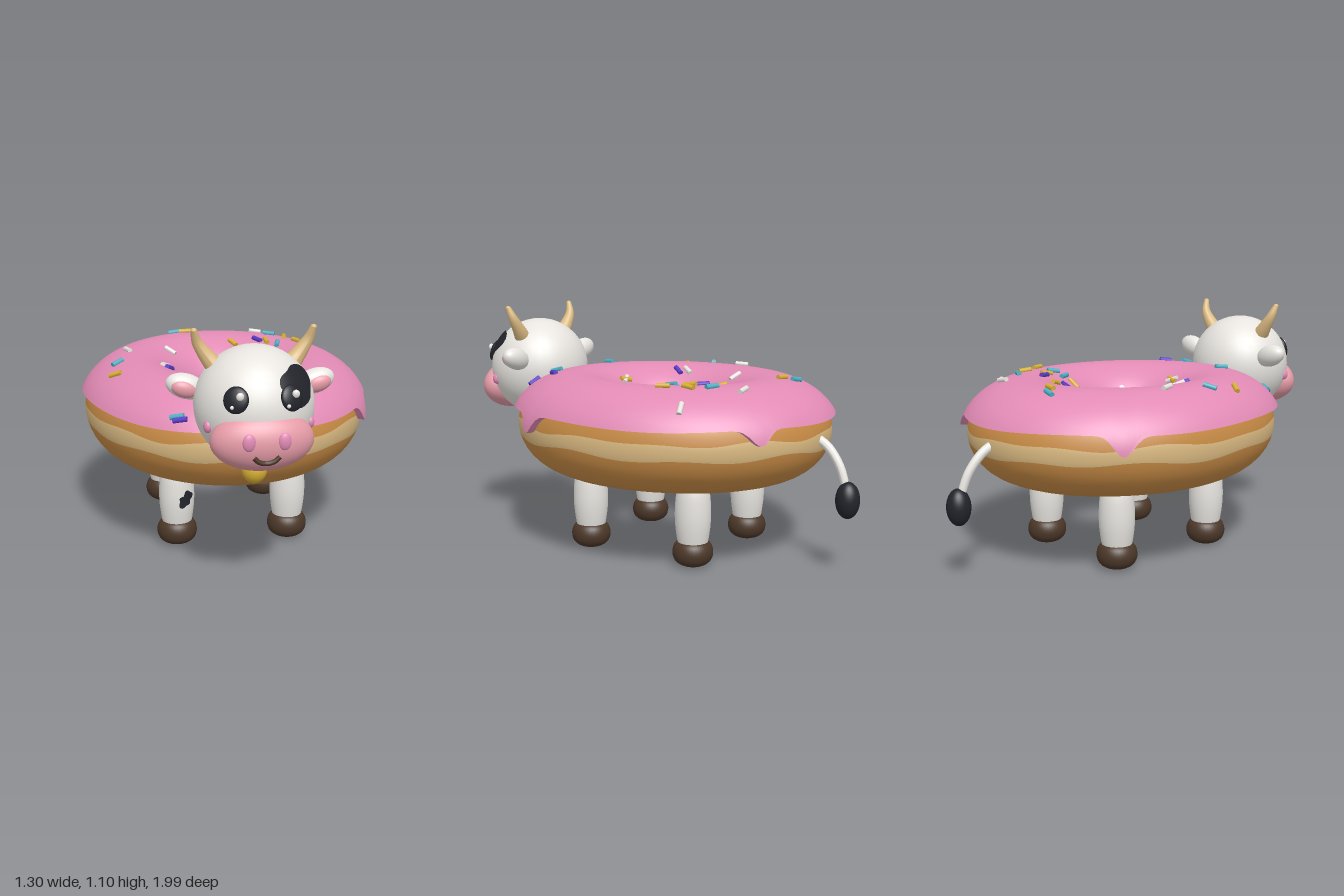
import * as THREE from 'three';

const mat = (name, color, opts = {}) => {
  const m = new THREE.MeshStandardMaterial({ color, ...opts });
  m.name = name;
  return m;
};
const V = (x, y, z) => new THREE.Vector3(x, y, z);

// Ring body proportions
const R = 0.405, TUBE = 0.235, HALF = 0.225, STRETCH = 1.17, MID = 0.575, CZ = -0.06;
const ringPoint = (u, v, out = 0, up = 0) => {
  const q = R + (TUBE + out) * Math.cos(v);
  return V(q * Math.cos(u), MID + (HALF + up) * Math.sin(v), CZ + q * Math.sin(u) * STRETCH);
};

// Surface of rows, each row closed on itself
function grid(rows, cols, fn) {
  const pos = [], index = [];
  for (let i = 0; i < rows; i++)
    for (let j = 0; j < cols; j++) {
      pos.push(...fn(i, (j / cols) * Math.PI * 2).toArray());
      if (i === rows - 1) continue;
      const a = i * cols + j, c = i * cols + ((j + 1) % cols);
      index.push(a, a + cols, c, a + cols, c + cols, c);
    }
  const g = new THREE.BufferGeometry();
  g.setAttribute('position', new THREE.Float32BufferAttribute(pos, 3));
  g.setIndex(index);
  g.computeVertexNormals();
  return g;
}

// Irregular thin patch laid onto a surface
const patch = (radius, project) => grid(7, 40, (i, a) => {
  const r = radius(a) * (i / 6);
  return project(r * Math.cos(a), r * Math.sin(a));
});

// Tube whose radius changes along its path
function taperTube(points, r0, r1) {
  const curve = new THREE.CatmullRomCurve3(points), n = 16, k = 14;
  const g = new THREE.TubeGeometry(curve, n, 1, k), p = g.attributes.position, v = V(0, 0, 0);
  for (let i = 0; i <= n; i++) {
    const c = curve.getPointAt(i / n), r = r0 + (r1 - r0) * (i / n);
    for (let j = 0; j <= k; j++) {
      const id = i * (k + 1) + j;
      v.fromBufferAttribute(p, id).sub(c).multiplyScalar(r).add(c);
      p.setXYZ(id, v.x, v.y, v.z);
    }
  }
  g.computeVertexNormals();
  return g;
}

const lathe = (pts) => new THREE.LatheGeometry(
  new THREE.SplineCurve(pts.map(([x, y]) => new THREE.Vector2(x, y))).getPoints(24), 32);

export function createModel() {
  const model = new THREE.Group();
  model.name = 'doughnutCow';
  const white = mat('white', 0xeeebe6), black = mat('black', 0x22242b);
  const icingPink = mat('icing pink', 0xe28bb5), skinPink = mat('skin pink', 0xe69ca8);
  const dough = mat('dough', 0xc98c46), tan = mat('tan', 0xdbba82);
  const brown = mat('brown', 0x4b3728), gold = mat('gold', 0xd8b034);
  const purple = mat('purple', 0x5a3cc8), teal = mat('teal', 0x4fb0c4);

  const add = (name, geo, material, parent = model) => {
    const m = new THREE.Mesh(geo, material);
    m.name = name;
    parent.add(m);
    return m;
  };
  const ball = (name, material, p, s, parent = model) => {
    const m = add(name, new THREE.SphereGeometry(1, 36, 24), material, parent);
    m.position.set(...p);
    m.scale.set(...s);
    return m;
  };

  // Dough ring with a wavy pale stripe around the outside
  const cols = 128;
  const low = (u) => -0.2 + 0.035 * Math.sin(9 * u) + 0.025 * Math.sin(5 * u + 1);
  const high = (u) => 0.11 + 0.03 * Math.sin(7 * u + 2) + 0.025 * Math.sin(11 * u);
  const ring = grid(45, cols, (i, u) => {
    const a = low(u), b = high(u);
    const v = i <= 20 ? -Math.PI + (a + Math.PI) * (i / 20)
      : i <= 24 ? a + (b - a) * ((i - 20) / 4) : b + (Math.PI - b) * ((i - 24) / 20);
    return ringPoint(u, v);
  });
  ring.addGroup(0, 20 * cols * 6, 0);
  ring.addGroup(20 * cols * 6, 4 * cols * 6, 1);
  ring.addGroup(24 * cols * 6, 20 * cols * 6, 0);
  add('doughRing', ring, [dough, tan]);

  // Icing shell with a flared lip and three drips
  const drips = [[0.53, 0.37], [3.78, 0.37], [5.3, 0.3]];
  const drip = (u) => drips.reduce((s, [c, d]) => s + d * Math.exp(-(((u - c) / 0.075) ** 2)), 0);
  const N = 32;
  add('icing', grid(N + 5, 200, (i, u) => {
    const v0 = 0.36 + 0.02 * Math.sin(5 * u) - drip(u);
    const v1 = Math.PI - 0.33 + 0.03 * Math.sin(6 * u);
    const t = Math.min(1, Math.max(0, (i - 2) / N));
    const v = v0 + (v1 - v0) * t, c = Math.cos(v);
    if (i === 0 || i === N + 4) return ringPoint(u, v, -0.005, -0.005);
    return ringPoint(u, v, 0.005 + (c > 0 ? 0.025 * c : -0.008 * c), 0.006);
  }), icingPink);

  // Sprinkles: x, z, direction x, direction z
  const sprinkles = [
    [teal, [[-.16, -.61, 1, .2], [.3, -.44, 1, .5], [.3, -.24, .3, -1], [.25, -.215, .5, 1],
      [-.49, 0, 1, -.7], [-.165, .41, .4, -1], [.155, .49, 0, 1], [-.29, .585, 1, .4]]],
    [gold, [[-.11, -.565, 1, .2], [.105, -.375, .5, 1], [.36, -.36, .2, -1], [.26, -.31, 0, 1],
      [.4, -.26, .4, 1], [.21, -.19, 1, -.4], [-.51, .14, 1, .6], [-.027, .217, 1, .4]]],
    [white, [[.25, -.56, 1, 0], [.505, -.41, 1, -.3], [-.02, -.3, 1, .1], [-.22, -.27, 1, .6],
      [-.43, -.195, .3, 1], [-.275, .02, .6, -1], [-.027, .217, 1, -.4]]],
    [purple, [[.222, -.35, .5, 1], [.16, -.27, .4, -1], [-.26, .065, .6, -1], [.248, .435, .7, -1],
      [.225, .57, 1, .4], [-.28, .6, 1, .4]]],
  ];
  const onIcing = (x, z) => {
    const q = Math.hypot(x, (z - CZ) / STRETCH) - R;
    const t = Math.min(0.95, Math.abs(q) / (q > 0 ? 0.26 : 0.245));
    return V(x, MID + 0.231 * Math.sqrt(1 - t * t) + 0.006, z);
  };
  const stick = new THREE.CylinderGeometry(0.0115, 0.0115, 0.06, 10);
  for (const [material, list] of sprinkles)
    for (const [x, z, dx, dz] of list) {
      const k = 0.03 / Math.hypot(dx, dz);
      const a = onIcing(x - dx * k, z - dz * k), b = onIcing(x + dx * k, z + dz * k);
      const s = add('sprinkle', stick, material);
      s.position.copy(a).add(b).multiplyScalar(0.5);
      s.quaternion.setFromUnitVectors(V(0, 1, 0), b.sub(a).normalize());
    }

  // Legs and hooves
  const legGeo = lathe([[.06, .08], [.069, .12], [.078, .19], [.079, .26], [.071, .34], [.045, .42]]);
  const hoofGeo = lathe([[0, 0], [.045, .004], [.078, .025], [.09, .06], [.081, .097], [.055, .116], [0, .12]]);
  for (const x of [-0.255, 0.255])
    for (const z of [0.225, -0.325]) {
      const leg = new THREE.Group();
      leg.name = z > 0 ? 'frontLeg' : 'backLeg';
      leg.position.set(x, 0, z);
      add('shin', legGeo, white, leg);
      add('hoof', hoofGeo, brown, leg);
      model.add(leg);
    }
  add('legSpot', patch((a) => 0.034 + 0.009 * Math.sin(2 * a - 0.2) + 0.005 * Math.sin(5 * a), (x, y) => {
    const t = (x + 0.036) / 0.081;
    return V(-0.255 + 0.081 * Math.sin(t), 0.23 + y, 0.225 + 0.081 * Math.cos(t));
  }), black);

  // Head
  const head = new THREE.Group();
  head.name = 'head';
  model.add(head);
  const C = V(0, 0.785, 0.717), HR = 0.238;
  ball('skull', white, C.toArray(), [0.24, HR, 0.236], head);
  const spotDir = V(0.145, 0.115, 0.155).normalize();
  const side = V(0, 1, 0).cross(spotDir).normalize(), up = spotDir.clone().cross(side);
  add('eyeSpot', patch((a) => 0.38 + 0.06 * Math.cos(2 * a - 1) + 0.035 * Math.sin(3 * a) + 0.02 * Math.sin(5 * a),
    (x, y) => spotDir.clone().addScaledVector(side, x).addScaledVector(up, y)
      .normalize().multiplyScalar(HR + 0.007).add(C)), black, head);

  // Muzzle and mouth
  ball('muzzle', skinPink, [0, 0.69, 0.885], [0.203, 0.121, 0.105], head);
  add('mouth', taperTube([V(-.05, .652, .98), V(-.03, .633, .98), V(0, .625, .977),
    V(.03, .633, .98), V(.05, .652, .98)], 0.01, 0.01), brown, head);

  for (const s of [-1, 1]) {
    // Eyes with highlights
    const dir = V(s * 0.107, 0.075, 0.2).normalize();
    const eye = ball('eye', black, C.clone().addScaledVector(dir, HR).toArray(), [0.05, 0.052, 0.02], head);
    eye.quaternion.setFromUnitVectors(V(0, 0, 1), dir);
    const ex = s * 0.107 + 0.012;
    ball('eyeHighlight', white, [ex, 0.878, 0.936 - (s > 0 ? 0.006 : -0.003)], [.015, .016, .01], head);
    ball('eyeHighlight', white, [ex - 0.03, 0.836, s > 0 ? 0.948 : 0.934], [.008, .008, .006], head);
    // Nostrils and cheeks
    ball('nostril', icingPink, [s * 0.068, 0.71, 0.982], [0.025, 0.034, 0.013], head);
    ball('cheek', icingPink, [s * 0.2, 0.735, 0.828], [0.018, 0.026, 0.022], head);
    // Ears
    const ear = ball('ear', white, [s * 0.262, 0.85, 0.65], [0.082, 0.051, 0.045], head);
    const inner = ball('innerEar', skinPink, [s * 0.27, 0.846, 0.676], [0.054, 0.035, 0.027], head);
    ear.rotation.z = inner.rotation.z = s * 0.3;
    // Horns
    add('horn', taperTube([V(s * .14, .925, .70), V(s * .185, .98, .692), V(s * .221, 1.035, .695),
      V(s * .236, 1.085, .712)], 0.042, 0.013), tan, head);
    ball('hornTip', tan, [s * 0.236, 1.085, 0.712], [0.013, 0.011, 0.013], head);
  }

  // Bell
  ball('bell', gold, [0, 0.518, 0.738], [0.052, 0.058, 0.052]);

  // Tail
  add('tail', taperTube([V(0, .58, -.78), V(.004, .545, -.84), V(.014, .47, -.9), V(.022, .38, -.935)],
    0.021, 0.018), white);
  ball('tailTuft', black, [0.026, 0.33, -0.945], [0.052, 0.08, 0.052]);

  return model;
}
